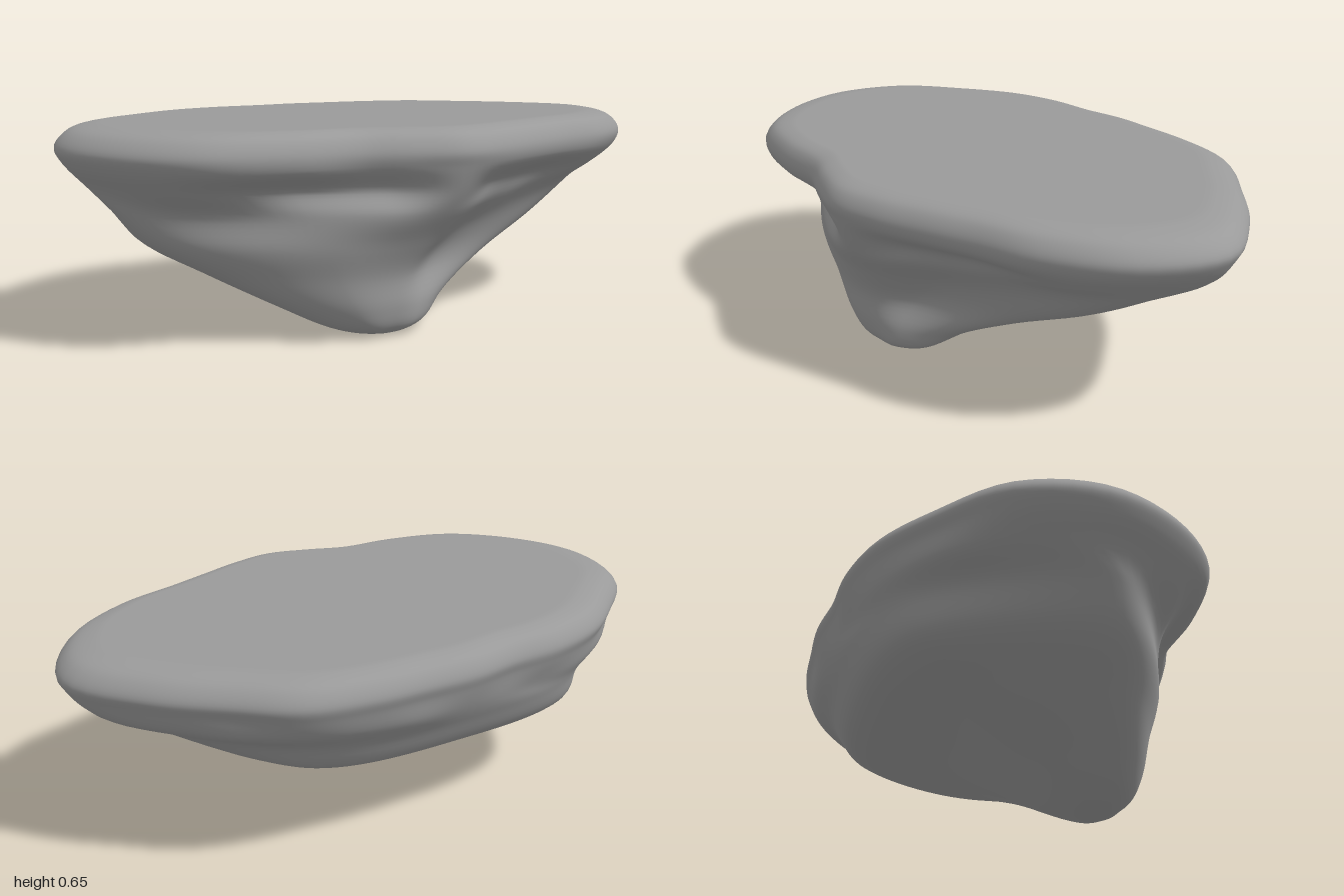
import * as THREE from 'three';
import { mergeVertices } from 'three/addons/utils/BufferGeometryUtils.js';

const AROUND = 120;
const DOWN = 80;

// Smooth closed ring from evenly turned radii, starting at +x towards +z
function ring(y, cx, cz, radii) {
  const corners = radii.map((r, k) => {
    const a = (k / radii.length) * Math.PI * 2;
    return new THREE.Vector3(cx + r * Math.cos(a), y, cz + r * Math.sin(a));
  });
  const curve = new THREE.CatmullRomCurve3(corners, true);
  return Array.from({ length: AROUND }, (_, j) => curve.getPoint(j / AROUND));
}

function rockRings() {
  const rim = [
    1, 0.935, 0.8, 0.67, 0.615, 0.605, 0.612, 0.59, 0.595, 0.71, 0.86, 0.95,
    1, 0.965, 0.845, 0.765, 0.685, 0.62, 0.617, 0.63, 0.685, 0.765, 0.81, 0.9,
  ];
  const rimRing = (y, scale) => ring(y, 0, 0, rim.map((r) => r * scale));
  return [
    // flat top and softly rounded rim
    rimRing(0.65, 0.001),
    rimRing(0.65, 0.4),
    rimRing(0.65, 0.78),
    rimRing(0.648, 0.88),
    rimRing(0.627, 0.96),
    rimRing(0.58, 1),
    rimRing(0.535, 0.98),
    // underside with a keel at the front and a hollow on each side of it
    ring(0.47, 0, 0, [0.92, 0.77, 0.54, 0.51, 0.575, 0.52, 0.57, 0.82, 0.92, 0.86, 0.73, 0.61, 0.58, 0.62, 0.71, 0.8]),
    ring(0.4, -0.03, 0.08, [0.82, 0.43, 0.46, 0.49, 0.83, 0.75, 0.62, 0.71]),
    ring(0.3, -0.06, 0.13, [0.66, 0.3, 0.34, 0.42, 0.71, 0.74, 0.6, 0.69]),
    ring(0.2, -0.1, 0.2, [0.45, 0.2, 0.225, 0.3, 0.5, 0.56, 0.4, 0.47]),
    ring(0.1, -0.11, 0.27, [0.25, 0.16, 0.15, 0.2, 0.31, 0.33, 0.25, 0.28]),
    // blunt foot
    ring(0.035, -0.11, 0.31, [0.16, 0.11, 0.09, 0.12, 0.18, 0.19, 0.16, 0.16]),
    ring(0.006, -0.11, 0.32, [0.08, 0.05, 0.04, 0.05, 0.08, 0.08, 0.07, 0.07]),
    ring(0, -0.11, 0.32, Array(8).fill(0.0005)),
  ];
}

// Loft smooth columns through the rings, from the middle of the top to the foot
function rockGeometry() {
  const rings = rockRings();
  const positions = [];
  const index = [];
  const at = (i, j) => (j % AROUND) * (DOWN + 1) + i;
  for (let j = 0; j < AROUND; j++) {
    const column = new THREE.CatmullRomCurve3(rings.map((r) => r[j]));
    for (let i = 0; i <= DOWN; i++) {
      const p = column.getPoint(i / DOWN);
      positions.push(p.x, THREE.MathUtils.clamp(p.y, 0, 0.65), p.z);
      if (i < DOWN) {
        index.push(at(i, j), at(i, j + 1), at(i + 1, j));
        index.push(at(i, j + 1), at(i + 1, j + 1), at(i + 1, j));
      }
    }
  }
  const lofted = new THREE.BufferGeometry();
  lofted.setAttribute('position', new THREE.Float32BufferAttribute(positions, 3));
  lofted.setIndex(index);
  const geometry = mergeVertices(lofted, 1e-5);
  geometry.computeVertexNormals();
  return geometry;
}

export function createModel() {
  const group = new THREE.Group();
  group.name = 'floatingRock';
  const rock = new THREE.Mesh(rockGeometry(), new THREE.MeshStandardMaterial({ color: 0x9a9a9a }));
  rock.name = 'rockBody';
  group.add(rock);
  return group;
}
